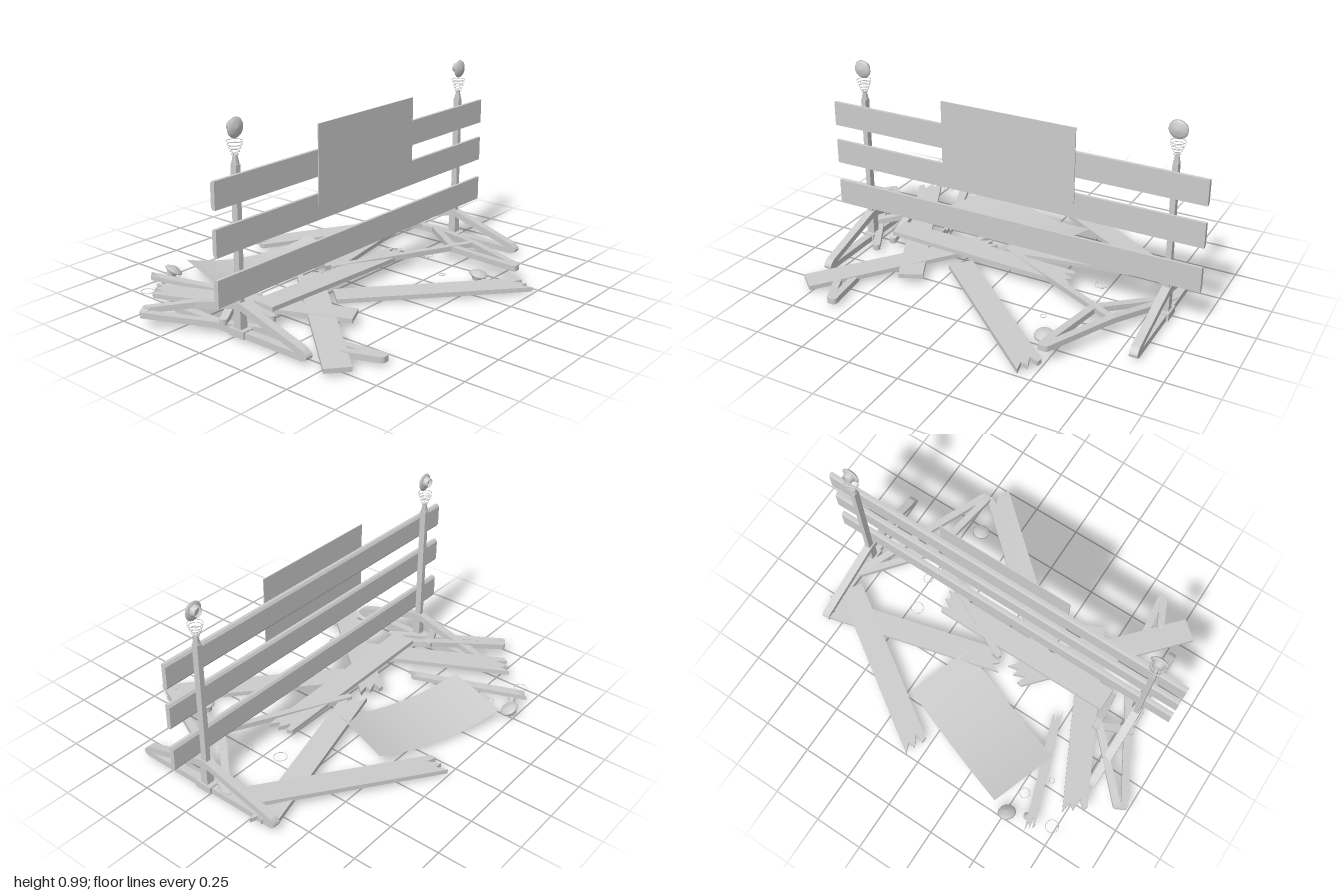
import * as THREE from 'three';

const V = (x, y, z) => new THREE.Vector3(x, y, z);
const mat = new THREE.MeshStandardMaterial({ color: 0xcccccc, side: THREE.DoubleSide });

function add(parent, name, geo, x = 0, y = 0, z = 0) {
  const m = new THREE.Mesh(geo, mat);
  m.name = name;
  m.position.set(x, y, z);
  parent.add(m);
  return m;
}

// Turns a mesh so its local x runs from a to b and its local z points upward
function orient(mesh, a, b) {
  const x = b.clone().sub(a).normalize();
  const y = V(0, 1, 0).cross(x).normalize();
  const z = x.clone().cross(y);
  mesh.quaternion.setFromRotationMatrix(new THREE.Matrix4().makeBasis(x, y, z));
}

// Flat board from a to b; a jagged end is cut in splinters
function board(parent, name, a, b, w, jagA, jagB, t = 0.022) {
  const l = a.distanceTo(b) / 2, h = w / 2;
  const teeth = [[0, -1], [-0.045, -0.45], [-0.012, -0.15], [-0.07, 0.35], [-0.02, 0.6], [-0.035, 1]];
  const ends = [[0, -1], [0, 1]];
  const pts = [
    ...(jagB ? teeth : ends).map(([u, v]) => new THREE.Vector2(l + u, v * h)),
    ...(jagA ? teeth : ends).map(([u, v]) => new THREE.Vector2(-l - u, -v * h)),
  ];
  const geo = new THREE.ExtrudeGeometry(new THREE.Shape(pts), { depth: t, bevelEnabled: false });
  geo.translate(0, 0, -t / 2);
  const mid = a.clone().add(b).multiplyScalar(0.5);
  orient(add(parent, name, geo, mid.x, mid.y, mid.z), a, b);
}

// Steel strip through a list of points, rounded at every corner
function strip(parent, name, pts, w = 0.036, h = 0.028) {
  const g = new THREE.Group();
  g.name = name;
  parent.add(g);
  pts.forEach((p, i) => {
    add(g, name + 'Joint', new THREE.CylinderGeometry(w / 2, w / 2, h, 14), p.x, p.y, p.z);
    if (i === 0) return;
    const a = pts[i - 1], mid = a.clone().add(p).multiplyScalar(0.5);
    orient(add(g, name + 'Bar', new THREE.BoxGeometry(a.distanceTo(p), w, h), mid.x, mid.y, mid.z), a, p);
  });
}

function ring(parent, x, y, z, r) {
  add(parent, 'ring', new THREE.TorusGeometry(r, 0.0015, 6, 28), x, y, z).rotation.x = Math.PI / 2;
}

// Lamp: lens with a domed front, rim and a short housing behind
function lamp(parent, name, x, y, z) {
  const g = new THREE.Group();
  g.name = name;
  g.position.set(x, y, z);
  parent.add(g);
  const prof = [[0, -0.008], [0.03, -0.007], [0.045, 0], [0.042, 0.005], [0.028, 0.013], [0, 0.018]];
  const lens = new THREE.LatheGeometry(prof.map(p => new THREE.Vector2(...p)), 28);
  add(g, 'lens', lens).rotation.x = Math.PI / 2;
  add(g, 'lampHousing', new THREE.CylinderGeometry(0.022, 0.028, 0.024, 16, 1, true), 0, 0.004, -0.018)
    .rotation.x = -Math.PI / 2;
  return g;
}

// Triangular foot with two openings, rounded at both toes
function foot(parent, x) {
  const s = new THREE.Shape();
  s.moveTo(0.40, 0.01);
  s.lineTo(-0.36, 0.01);
  s.quadraticCurveTo(-0.41, 0.02, -0.37, 0.06);
  s.lineTo(0.06, 0.165);
  s.quadraticCurveTo(0.03, 0.172, 0, 0.165);
  s.curves.splice(-2); // rebuild the crown in order
  s.currentPoint.set(-0.37, 0.06);
  s.lineTo(0.0, 0.165);
  s.quadraticCurveTo(0.03, 0.176, 0.06, 0.165);
  s.lineTo(0.40, 0.062);
  s.quadraticCurveTo(0.455, 0.025, 0.40, 0.01);
  for (const [i, o] of [[0.05, 0.37], [0.01, -0.33]]) {
    const hole = new THREE.Path();
    hole.moveTo(i, 0.04);
    hole.lineTo(o, 0.04);
    hole.lineTo(i, 0.134);
    hole.closePath();
    s.holes.push(hole);
  }
  const geo = new THREE.ExtrudeGeometry(s, { depth: 0.04, bevelEnabled: false });
  geo.translate(0, 0, -0.02).rotateY(-Math.PI / 2);
  add(parent, 'foot', geo, x, 0, 0);
  add(parent, 'postSocket', new THREE.BoxGeometry(0.06, 0.035, 0.09), x, 0.028, 0.03);
}

export function createModel() {
  const root = new THREE.Group();
  root.name = 'brokenBarricade';

  // Standing posts with feet and lamps
  for (const x of [-0.785, 0.83]) {
    const side = new THREE.Group();
    side.name = x < 0 ? 'rightStand' : 'leftStand';
    root.add(side);
    foot(side, x);
    add(side, 'post', new THREE.BoxGeometry(0.026, 0.74, 0.032), x, 0.41, 0.03);
    add(side, 'postTip', new THREE.CylinderGeometry(0.009, 0.0185, 0.045, 4, 1).rotateY(Math.PI / 4), x, 0.8, 0.03);
    [0.015, 0.02, 0.026, 0.031, 0.034].forEach((r, i) => ring(side, x, 0.822 + i * 0.0145, 0.03, r));
    lamp(side, 'lamp', x, 0.937, 0.035);
  }

  // Three crossboards with bevelled edges
  for (const y of [0.26, 0.483, 0.688]) {
    const s = new THREE.Shape();
    s.moveTo(0.047, -0.05).lineTo(0.047, 0.05).lineTo(0.055, 0.062).lineTo(0.07, 0.062)
      .lineTo(0.07, -0.062).lineTo(0.055, -0.062).closePath();
    const geo = new THREE.ExtrudeGeometry(s, { depth: 1.94, bevelEnabled: false });
    geo.translate(0, 0, -0.97).rotateY(-Math.PI / 2);
    add(root, 'crossboard', geo, 0.025, y, 0);
  }
  add(root, 'signPanel', new THREE.BoxGeometry(0.695, 0.375, 0.005), 0.027, 0.682, 0.074);

  // Fallen boards
  const debris = new THREE.Group();
  debris.name = 'debris';
  root.add(debris);
  board(debris, 'fallenBoard', V(-0.365, 0.04, 0.325), V(-0.79, 0.065, -0.55), 0.12, false, true);
  board(debris, 'fallenBoard', V(-0.79, 0.025, 0.585), V(-0.16, 0.06, -0.14), 0.12, false, true);
  board(debris, 'fallenBoard', V(-0.225, 0.022, 0.085), V(0.48, 0.022, 0.705), 0.125, false, true);
  board(debris, 'fallenBoard', V(0.805, 0.055, -0.19), V(0.035, 0.025, -0.7), 0.12, false, true);
  board(debris, 'fallenBoard', V(0.87, 0.025, -0.335), V(-0.08, 0.065, -0.1), 0.115, true, true);
  board(debris, 'fallenBoard', V(-0.63, 0.09, 0.013), V(0.37, 0.06, 0.018), 0.12, false, true);
  board(debris, 'splinter', V(-0.45, 0.022, -0.15), V(-0.65, 0.045, -0.74), 0.045, true, true);

  // Fallen sign, sagging along its length
  const sheet = new THREE.PlaneGeometry(0.695, 0.36, 16, 1).rotateX(-Math.PI / 2);
  const p = sheet.attributes.position;
  for (let i = 0; i < p.count; i++) p.setY(i, 0.02 + 0.05 * (p.getX(i) / 0.3475) ** 2);
  sheet.computeVertexNormals();
  add(debris, 'fallenSign', sheet, -0.165, 0, -0.425).rotation.y = -0.34;

  // Broken feet and struts
  strip(debris, 'brokenFoot', [V(-0.69, 0.03, 0.14), V(-0.975, 0.055, -0.385), V(-0.94, 0.062, -0.405), V(-0.655, 0.1, -0.11)]);
  strip(debris, 'brokenFoot', [V(-0.81, 0.06, -0.05), V(-0.655, 0.1, -0.13), V(-0.635, 0.05, 0.07)]);
  strip(debris, 'brokenFoot', [V(0.825, 0.03, -0.09), V(0.55, 0.07, 0.22), V(0.485, 0.085, 0.615), V(0.505, 0.085, 0.615), V(0.66, 0.075, 0.27), V(0.825, 0.03, -0.08)]);
  strip(debris, 'brokenPost', [V(-0.04, 0.07, -0.08), V(0.655, 0.075, 0.265)], 0.032, 0.026);
  strip(debris, 'brokenToe', [V(-0.615, 0.025, 0.385), V(-0.58, 0.025, 0.655), V(-0.595, 0.025, 0.655), V(-0.66, 0.03, 0.51)]);

  // Scattered rings and lamps
  for (const [x, z, r] of [[-0.73, -0.655, 0.032], [-0.53, -0.59, 0.025], [-0.61, -0.465, 0.014],
    [0.465, -0.08, 0.032], [0.51, 0.09, 0.025], [0.34, 0.3, 0.014]]) ring(debris, x, 0.012, z, r);
  lamp(debris, 'fallenLamp', -0.51, 0.035, -0.72).rotation.set(-1.2, 0.35, 0);
  lamp(debris, 'fallenLamp', 0.42, 0.03, 0.46).rotation.x = -1.35;
  add(debris, 'lampStub', new THREE.CylinderGeometry(0.015, 0.018, 0.025, 12), -0.605, 0.025, -0.68).rotation.z = 0.4;
  return root;
}
